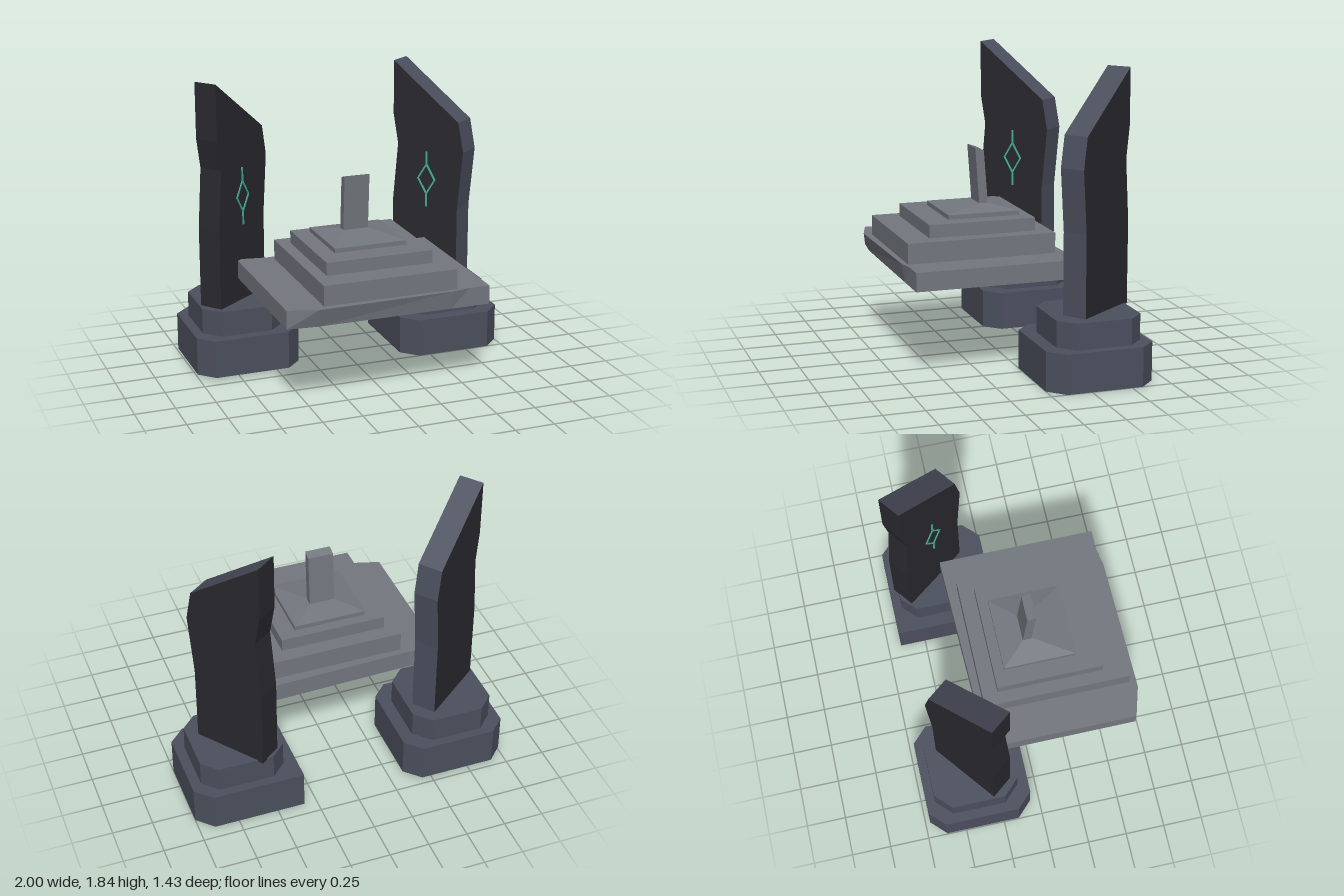
import * as THREE from 'three';

const stone = new THREE.MeshStandardMaterial({ color: 0x4b4f5d });
stone.name = 'blue grey stone';
const dark = new THREE.MeshStandardMaterial({ color: 0x2a292f });
dark.name = 'dark stone';
const pale = new THREE.MeshStandardMaterial({ color: 0x73777e });
pale.name = 'pale stone';
const teal = new THREE.MeshStandardMaterial({ color: 0x45b39d });
teal.name = 'teal glow';

// Closed solid between two loops of equal length; lower loop runs counterclockwise seen from upper.
function loft(lower, upper) {
  const pos = [];
  const n = lower.length;
  const centre = (loop) => [0, 1, 2].map((k) => loop.reduce((sum, p) => sum + p[k], 0) / n);
  const add = (...pts) => pts.forEach((p) => pos.push(...p));
  for (let i = 0; i < n; i++) {
    const j = (i + 1) % n;
    add(lower[i], lower[j], upper[j], lower[i], upper[j], upper[i]);
  }
  const a = centre(lower), b = centre(upper);
  for (let i = 0; i < n; i++) add(a, lower[(i + 1) % n], lower[i]);
  for (let i = 0; i < n; i++) add(b, upper[i], upper[(i + 1) % n]);
  const g = new THREE.BufferGeometry();
  g.setAttribute('position', new THREE.Float32BufferAttribute(pos, 3));
  g.computeVertexNormals();
  return g;
}

function mesh(name, geometry, material, parent) {
  const m = new THREE.Mesh(geometry, material);
  m.name = name;
  parent.add(m);
  return m;
}

// Horizontal loops
const level = (pts, y) => pts.map(([x, z]) => [x, y, z]);
const rect = (x0, x1, z0, z1) => [[x0, z1], [x1, z1], [x1, z0], [x0, z0]];
function chamfered(x0, x1, z0, z1, c, sharpBack = false) {
  const pts = [[x0, z1 - c], [x0 + c, z1], [x1 - c, z1], [x1, z1 - c], [x1, z0 + c], [x1 - c, z0]];
  return sharpBack ? [...pts, [x0, z0]] : [...pts, [x0 + c, z0], [x0, z0 + c]];
}
const block = (pts, y0, y1) => loft(level(pts, y0), level(pts, y1));

// Outlined diamond with a tick above and below
function makeEmblem() {
  const g = new THREE.Group();
  g.name = 'emblem';
  const diamond = (C, w, h) => new C([[0, -h], [w, 0], [0, h], [-w, 0]].map((p) => new THREE.Vector2(...p)));
  const ring = diamond(THREE.Shape, 0.067, 0.108);
  ring.holes.push(diamond(THREE.Path, 0.055, 0.088));
  mesh('diamondOutline', new THREE.ExtrudeGeometry(ring, { depth: 0.006, bevelEnabled: false }), teal, g);
  for (const side of [-1, 1]) {
    mesh('emblemTick', new THREE.BoxGeometry(0.012, 0.085, 0.006), teal, g).position.set(0, side * 0.141, 0.003);
  }
  return g;
}

// Bent slab with a slanted top; edges 1 to 4 (short end and slope) use the lighter stone
function makeMonolith(name, x, y, z, angle) {
  const g = new THREE.Group();
  g.name = name;
  const half = 0.0775;
  const profile = [
    [-0.238, 0.39], [0.238, 0.39], [0.238, 0.9], [0.275, 1.28], [0.238, 1.47],
    [-0.238, 1.82], [-0.238, 1.47], [-0.203, 1.28], [-0.238, 0.9],
  ];
  const at = (d) => profile.map(([s, h]) => [s, h, d]);
  const geo = loft(at(-half), at(half));
  geo.addGroup(0, 6, 0);
  geo.addGroup(6, 24, 1);
  geo.addGroup(30, geo.attributes.position.count - 30, 0);
  mesh('monolithSlab', geo, [dark, stone], g);
  const emblem = makeEmblem();
  emblem.position.set(0.012, 1.07, half);
  g.add(emblem);
  g.position.set(x, y, z);
  g.rotation.y = THREE.MathUtils.degToRad(angle);
  return g;
}

export function createModel() {
  const model = new THREE.Group();
  model.name = 'shrine';

  // Pillar on the -x side
  const rightPillar = new THREE.Group();
  rightPillar.name = 'rightPillar';
  mesh('lowerPlinth', block(chamfered(-1, -0.34, -0.72, -0.06, 0.095), 0.02, 0.26), stone, rightPillar);
  mesh('upperPlinth', block(chamfered(-0.94, -0.42, -0.665, -0.13, 0.1), 0.26, 0.42), stone, rightPillar);
  rightPillar.add(makeMonolith('rightMonolith', -0.692, 0.02, -0.385, 38));
  model.add(rightPillar);

  // Pillar on the +x side
  const leftPillar = new THREE.Group();
  leftPillar.name = 'leftPillar';
  mesh('lowerPlinth', block(chamfered(0.33, 1, -0.665, 0, 0.098, true), 0, 0.24), stone, leftPillar);
  mesh('upperPlinth', block(chamfered(0.412, 0.938, -0.61, -0.085, 0.092), 0.24, 0.4), stone, leftPillar);
  leftPillar.add(makeMonolith('leftMonolith', 0.662, 0, -0.4, -53));
  model.add(leftPillar);

  // Stepped platform
  const platform = new THREE.Group();
  platform.name = 'platform';
  const floorLow = [[-0.685, 0.66], [-0.5, 0.68], [0.34, 0.68], [0.45, 0.68], [0.585, 0.68],
    [0.585, -0.32], [-0.5, -0.29], [-0.685, -0.32]];
  const floorTop = floorLow.map(([x, z]) => [x, z]);
  floorTop[1][1] = 0.715;
  floorTop[2][1] = 0.7;
  mesh('floorSlab', loft(level(floorLow, 0.57), level(floorTop, 0.685)), pale, platform);
  mesh('lowerStep', block(rect(-0.46, 0.378, -0.25, 0.67), 0.68, 0.81), pale, platform);
  mesh('middleStep', block(rect(-0.385, 0.285, -0.155, 0.51), 0.81, 0.89), pale, platform);
  const topStep = rect(-0.28, 0.178, -0.09, 0.36);
  mesh('topStep', block(topStep, 0.89, 0.918), pale, platform);
  mesh('topSlope', loft(level(topStep, 0.918), level(rect(-0.135, 0.025, 0.06, 0.125), 0.945)), pale, platform);

  // Leaning tablet
  const tabletTop = rect(-0.135, 0.025, 0.085, 0.14).map(([x, z]) => [x, z > 0.1 ? 1.29 : 1.272, z]);
  mesh('tablet', loft(level(rect(-0.135, 0.025, 0.06, 0.115), 0.94), tabletTop), pale, platform);
  model.add(platform);

  return model;
}
